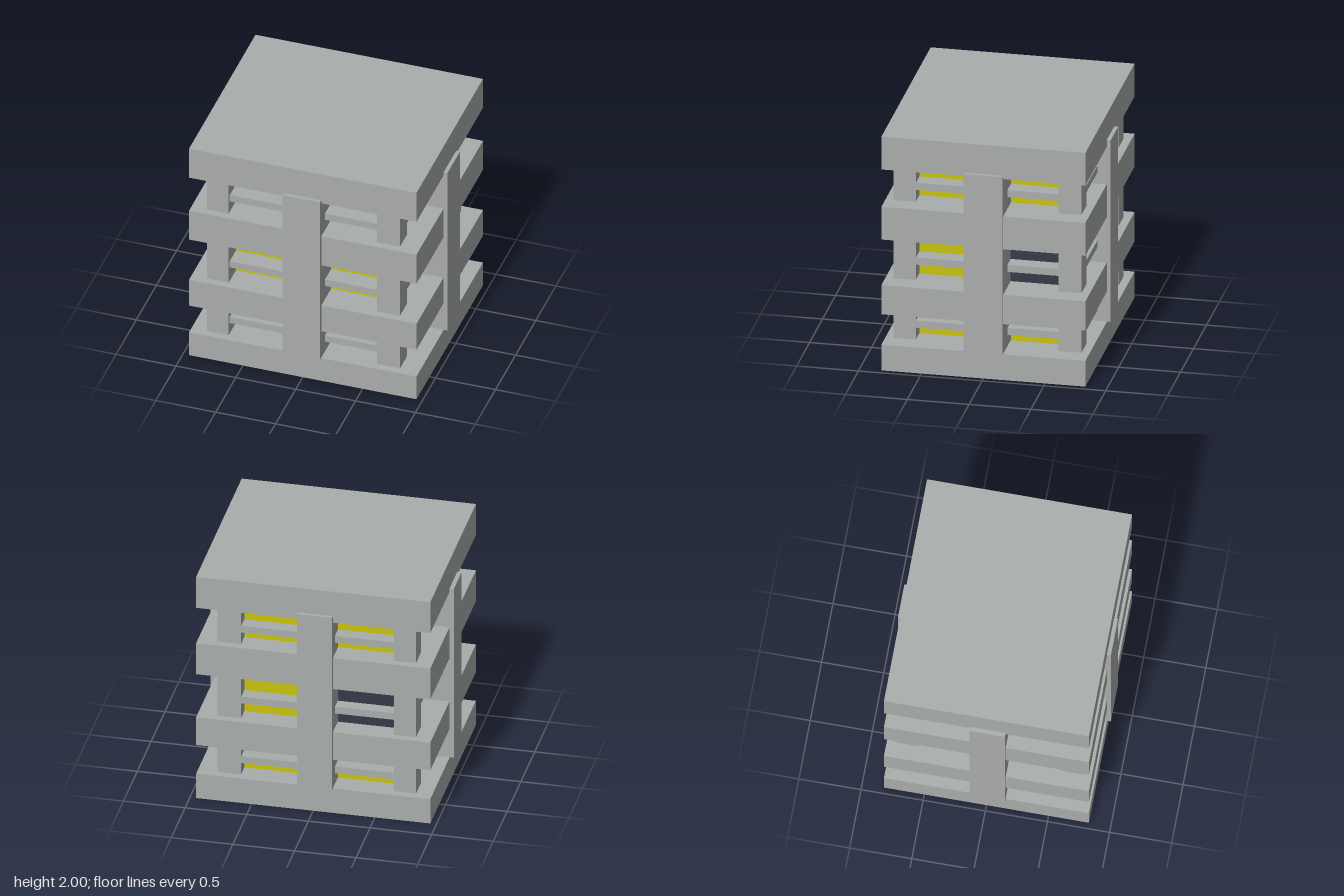
import * as THREE from 'three';

export function createModel() {
  const model = new THREE.Group();
  const concrete = new THREE.MeshStandardMaterial({ color: 0xa9adab });
  concrete.name = 'concreteGrey';
  const lit = new THREE.MeshStandardMaterial({ color: 0xc9c30d });
  lit.name = 'litYellow';
  const dark = new THREE.MeshStandardMaterial({ color: 0x343a46 });
  dark.name = 'darkGlass';

  // Box given by its min and max on each axis
  function box(name, material, [x0, x1], [y0, y1], [z0, z1]) {
    const mesh = new THREE.Mesh(new THREE.BoxGeometry(x1 - x0, y1 - y0, z1 - z0), material);
    mesh.position.set((x0 + x1) / 2, (y0 + y1) / 2, (z0 + z1) / 2);
    mesh.name = name;
    model.add(mesh);
  }

  // Base, floor bands and roof
  const slabs = [[0, 0.22], [0.48, 0.73], [1.12, 1.4], [1.72, 2]];
  const slabNames = ['base', 'lowerFloor', 'upperFloor', 'roof'];
  slabs.forEach((y, i) => box(slabNames[i], concrete, [-0.95, 0.95], y, [-0.825, 0.825]));

  // Per storey: glazed core and the thin ledge that divides its windows
  const ledges = [[0.32, 0.38], [0.86, 0.92], [1.5, 1.56]];
  const storeys = ledges.map((_, i) => [slabs[i][1], slabs[i + 1][0]]);
  storeys.forEach((y, i) => {
    box('litWindows', lit, [-0.65, 0.65], y, [-0.64, 0.582]);
    box('windowLedge', concrete, [-0.79, 0.785], ledges[i], [-0.752, 0.735]);
  });

  // Unlit windows as thin plates over the core
  box('darkWindowFrontTop', dark, [-0.64, -0.16], storeys[2], [0.582, 0.59]);
  box('darkWindowFrontBottom', dark, [0.155, 0.6], storeys[0], [0.582, 0.59]);
  box('darkWindowRight', dark, [0.65, 0.658], storeys[1], [-0.575, -0.155]);
  box('darkWindowBack', dark, [-0.64, -0.16], storeys[1], [-0.648, -0.64]);

  // Corner posts
  for (const x of [[-0.82, -0.64], [0.6, 0.79]]) {
    for (const z of [[-0.76, -0.575], [0.58, 0.76]]) box('cornerPost', concrete, x, [0.2, 1.74], z);
  }

  // Central pillars, one on each side
  box('frontPillar', concrete, [-0.16, 0.155], [0.225, 1.75], [0.55, 0.857]);
  box('backPillar', concrete, [-0.16, 0.125], [0.225, 1.78], [-0.857, -0.6]);
  box('leftPillar', concrete, [0.6, 0.982], [0.225, 1.75], [-0.16, 0.155]);
  box('rightPillar', concrete, [-0.985, -0.6], [0.225, 1.75], [-0.13, 0.155]);

  return model;
}
